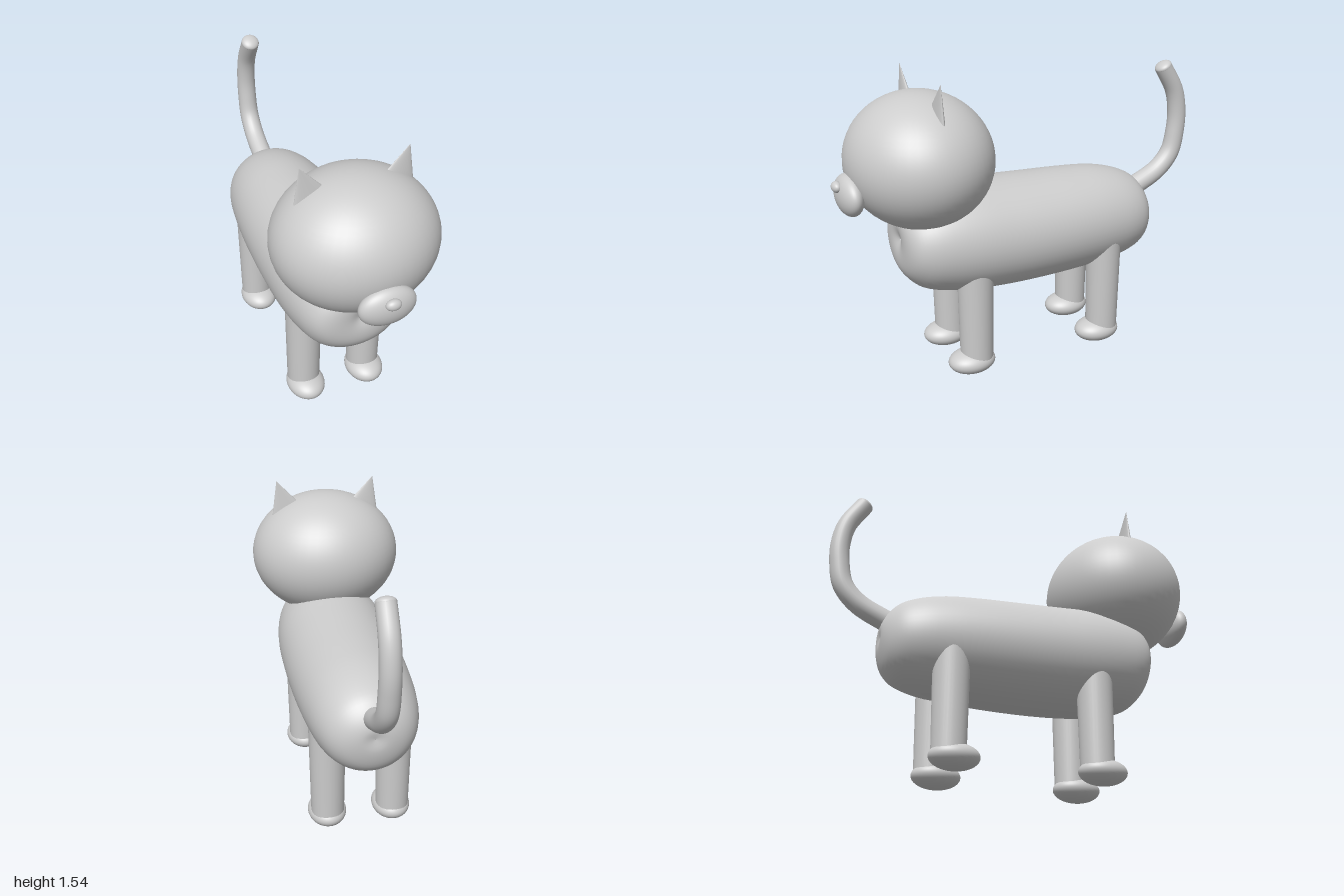
import * as THREE from 'three';

const coat = new THREE.MeshStandardMaterial({ color: 0xcccccc });
coat.name = 'grey coat';

function add(parent, name, geometry, x = 0, y = 0, z = 0) {
  const mesh = new THREE.Mesh(geometry, coat);
  mesh.name = name;
  mesh.position.set(x, y, z);
  parent.add(mesh);
  return mesh;
}

function ellipsoid(rx, ry, rz) {
  return new THREE.SphereGeometry(1, 48, 32).scale(rx, ry, rz);
}

// Torso: elliptical rings along z, each given as [z, half width, bottom, top]
function torsoGeometry() {
  const rings = [
    [0.675, 0.002, 0.728, 0.732], [0.695, 0.07, 0.66, 0.80], [0.69, 0.15, 0.585, 0.86],
    [0.66, 0.21, 0.53, 0.90], [0.6, 0.25, 0.475, 0.945], [0.5, 0.28, 0.44, 0.975],
    [0.35, 0.3, 0.415, 0.985], [0.15, 0.305, 0.402, 0.975], [-0.05, 0.302, 0.4, 0.965],
    [-0.25, 0.292, 0.405, 0.956], [-0.42, 0.275, 0.415, 0.942], [-0.55, 0.25, 0.435, 0.912],
    [-0.64, 0.21, 0.468, 0.87], [-0.695, 0.15, 0.525, 0.81], [-0.722, 0.07, 0.62, 0.745],
    [-0.715, 0.002, 0.688, 0.692],
  ];
  const widths = new THREE.CatmullRomCurve3(rings.map(r => new THREE.Vector3(r[1], 0, r[0])));
  const heights = new THREE.CatmullRomCurve3(rings.map(r => new THREE.Vector3(r[2], r[3], r[0])));
  const steps = 60, sides = 48, positions = [], index = [];
  for (let i = 0; i <= steps; i++) {
    const w = widths.getPoint(i / steps), h = heights.getPoint(i / steps);
    const middle = (h.x + h.y) / 2, half = (h.y - h.x) / 2;
    for (let j = 0; j < sides; j++) {
      const a = (j / sides) * Math.PI * 2;
      positions.push(Math.cos(a) * w.x, middle + Math.sin(a) * half, w.z);
      if (i < steps) {
        const p = i * sides + j, q = i * sides + (j + 1) % sides;
        index.push(p, p + sides, q, q, p + sides, q + sides);
      }
    }
  }
  const geometry = new THREE.BufferGeometry();
  geometry.setAttribute('position', new THREE.Float32BufferAttribute(positions, 3));
  geometry.setIndex(index);
  geometry.computeVertexNormals();
  return geometry;
}

// Tail: a tube that narrows towards the tip
function addTail(parent) {
  const curve = new THREE.CatmullRomCurve3([
    [0.76, -0.62], [0.795, -0.71], [0.862, -0.84], [0.95, -0.918],
    [1.07, -0.946], [1.18, -0.95], [1.3, -0.925], [1.435, -0.845],
  ].map(([y, z]) => new THREE.Vector3(0, y, z)));
  const steps = 48, sides = 24;
  const geometry = new THREE.TubeGeometry(curve, steps, 1, sides);
  const pos = geometry.attributes.position, p = new THREE.Vector3();
  for (let i = 0; i <= steps; i++) {
    const centre = curve.getPointAt(i / steps);
    const radius = 0.055 - 0.008 * i / steps;
    for (let j = 0; j <= sides; j++) {
      const k = i * (sides + 1) + j;
      p.fromBufferAttribute(pos, k).sub(centre).multiplyScalar(radius).add(centre);
      pos.setXYZ(k, p.x, p.y, p.z);
    }
  }
  add(parent, 'tail', geometry);
  const end = curve.getPointAt(1);
  const tip = add(parent, 'tailTip', ellipsoid(0.047, 0.025, 0.047), end.x, end.y, end.z);
  tip.quaternion.setFromUnitVectors(new THREE.Vector3(0, 1, 0), curve.getTangentAt(1));
}

export function createModel() {
  const cat = new THREE.Group();
  cat.name = 'cat';

  add(cat, 'torso', torsoGeometry());
  addTail(cat);

  // Head and face
  const head = new THREE.Group();
  head.name = 'head';
  cat.add(head);
  add(head, 'skull', ellipsoid(0.398, 0.333, 0.361), 0, 1.128, 0.563);
  add(head, 'muzzle', ellipsoid(0.138, 0.1, 0.062), 0, 1.003, 0.918);
  add(head, 'nose', ellipsoid(0.037, 0.027, 0.025), 0, 1.052, 0.975);

  for (const [side, s] of [['left', 1], ['right', -1]]) {
    // Ears: flattened cones leaning outward, pivoting at the tip
    const cone = new THREE.ConeGeometry(0.107, 0.22, 32).translate(0, -0.11, 0).scale(1, 1, 0.22);
    add(head, side + 'Ear', cone, s * 0.26, 1.542, 0.545).rotation.z = -s * 0.31;

    // Legs and paws
    for (const [end, z] of [['Front', 0.355], ['Back', -0.393]]) {
      const leg = new THREE.CylinderGeometry(0.093, 0.084, 0.56, 32);
      add(cat, side + end + 'Leg', leg, s * 0.169, 0.35, z);
      add(cat, side + end + 'Paw', ellipsoid(0.098, 0.063, 0.124), s * 0.168, 0.066, z + 0.028);
    }
  }
  return cat;
}
